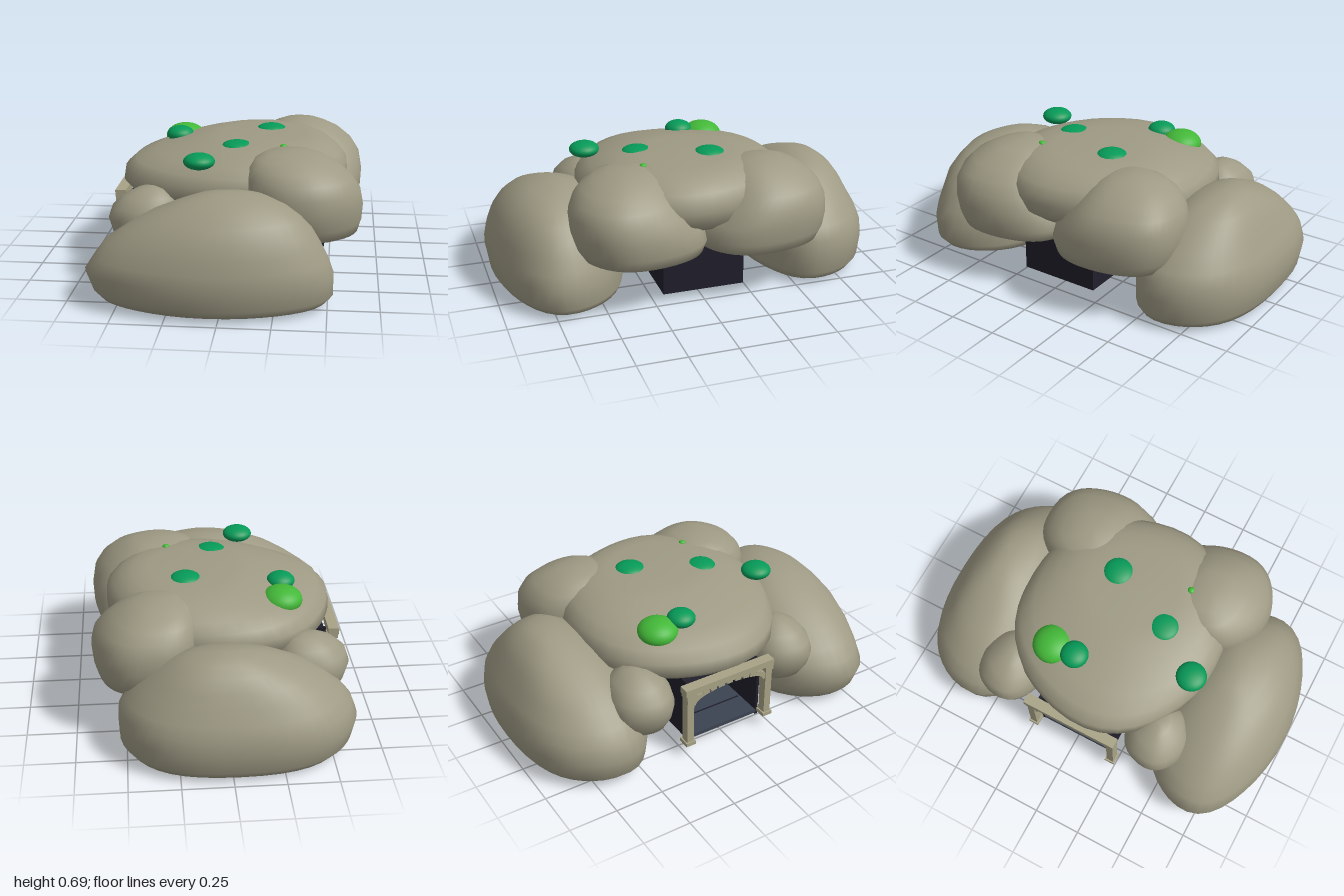
import * as THREE from 'three';

const mat = (name, color) => {
  const m = new THREE.MeshStandardMaterial({ color });
  m.name = name;
  return m;
};

// Boulder lofted through levels [y, xMin, xMax, zMin, zMax], closed by a point at each end
function boulderGeometry(levels, bottomY, topY, power = 2.2) {
  const sides = 40, pos = [], index = [];
  const pw = v => Math.sign(v) * Math.abs(v) ** (2 / power);
  for (const [y, x0, x1, z0, z1] of levels) {
    for (let i = 0; i < sides; i++) {
      const a = (i / sides) * Math.PI * 2;
      const r = 1 + 0.012 * Math.sin(3 * a) + 0.012 * Math.sin(5 * a);
      pos.push(
        (x0 + x1) / 2 + ((x1 - x0) / 2) * pw(Math.cos(a)) * r, y,
        (z0 + z1) / 2 + ((z1 - z0) / 2) * pw(Math.sin(a)) * r);
    }
  }
  const tip = (l, y) => pos.push((l[1] + l[2]) / 2, y, (l[3] + l[4]) / 2);
  tip(levels[0], bottomY);
  tip(levels[levels.length - 1], topY);
  const bottom = levels.length * sides, top = bottom + 1, last = (levels.length - 1) * sides;
  for (let i = 0; i < sides; i++) {
    const n = (i + 1) % sides;
    index.push(bottom, i, n, last + i, top, last + n);
    for (let k = 0; k < last; k += sides) {
      index.push(k + i, k + sides + i, k + n, k + n, k + sides + i, k + sides + n);
    }
  }
  const g = new THREE.BufferGeometry();
  g.setAttribute('position', new THREE.Float32BufferAttribute(pos, 3));
  g.setIndex(index);
  g.computeVertexNormals();
  return g;
}

export function createModel() {
  const root = new THREE.Group();
  root.name = 'rockCave';
  const rock = mat('rock', 0x9e9a84);
  const stone = mat('cutStone', 0xa8a386);
  const dark = mat('passageDark', 0x201f2b);
  const floorMat = mat('passageFloor', 0x3c4351);
  const leaf = mat('bushGreen', 0x069a58);
  const lime = mat('bushLime', 0x43b838);

  const add = (name, geometry, material, parent = root) => {
    const m = new THREE.Mesh(geometry, material);
    m.name = name;
    parent.add(m);
    return m;
  };
  // Box given by its bounds
  const box = (name, x0, x1, y0, y1, z0, z1, material, parent) => {
    const m = add(name, new THREE.BoxGeometry(x1 - x0, y1 - y0, z1 - z0), material, parent);
    m.position.set((x0 + x1) / 2, (y0 + y1) / 2, (z0 + z1) / 2);
    return m;
  };

  // Large boulders either side of the passage
  add('frontBoulder', boulderGeometry([
    [0.015, -0.52, 0.4, 0.38, 0.9], [0.03, -0.59, 0.49, 0.33, 0.96],
    [0.07, -0.625, 0.525, 0.32, 0.985], [0.17, -0.66, 0.525, 0.32, 1],
    [0.24, -0.615, 0.5, 0.32, 0.99], [0.31, -0.56, 0.465, 0.34, 0.97],
    [0.38, -0.46, 0.425, 0.38, 0.945], [0.44, -0.36, 0.37, 0.43, 0.9],
    [0.49, -0.24, 0.3, 0.48, 0.85], [0.525, -0.14, 0.21, 0.54, 0.78],
    [0.54, -0.06, 0.12, 0.59, 0.7],
  ], 0.005, 0.547, 2.1), rock);
  add('backBoulder', boulderGeometry([
    [0.015, -0.51, 0.42, -0.91, -0.39], [0.03, -0.57, 0.5, -0.96, -0.35],
    [0.07, -0.61, 0.53, -0.985, -0.33], [0.17, -0.63, 0.535, -1, -0.325],
    [0.25, -0.6, 0.53, -0.985, -0.34], [0.31, -0.55, 0.495, -0.96, -0.36],
    [0.38, -0.47, 0.43, -0.92, -0.4], [0.44, -0.38, 0.36, -0.89, -0.44],
    [0.5, -0.25, 0.28, -0.845, -0.5], [0.54, -0.14, 0.19, -0.79, -0.58],
    [0.555, -0.06, 0.1, -0.75, -0.64],
  ], 0.005, 0.564), rock);

  // Roof boulder spanning the passage
  add('roofBoulder', boulderGeometry([
    [0.37, -0.42, 0.43, -0.41, 0.38], [0.4, -0.53, 0.52, -0.5, 0.47],
    [0.45, -0.58, 0.575, -0.555, 0.525], [0.51, -0.57, 0.58, -0.555, 0.525],
    [0.56, -0.515, 0.575, -0.535, 0.505], [0.6, -0.41, 0.545, -0.49, 0.46],
    [0.635, -0.28, 0.5, -0.43, 0.4], [0.662, -0.17, 0.44, -0.35, 0.32],
    [0.674, -0.08, 0.36, -0.25, 0.22],
  ], 0.36, 0.677, 2.05), rock);

  // Overhanging boulders above the closed end
  const overhang = [
    [0.265, 0.2, 0.6, 0.05, 0.55], [0.285, 0.14, 0.64, -0.01, 0.6],
    [0.34, 0.09, 0.655, -0.035, 0.635], [0.42, 0.07, 0.66, -0.01, 0.65],
    [0.5, 0.07, 0.645, 0.06, 0.645], [0.56, 0.08, 0.605, 0.11, 0.62],
    [0.61, 0.1, 0.545, 0.15, 0.575], [0.645, 0.13, 0.48, 0.19, 0.51],
    [0.67, 0.19, 0.42, 0.25, 0.44],
  ];
  add('frontOverhang', boulderGeometry(overhang, 0.258, 0.678), rock);
  add('backOverhang', boulderGeometry(
    overhang.map(([y, x0, x1, z0, z1]) => [y, x0 + 0.04, x1, -z1 - 0.01, -z0 - 0.01]),
    0.258, 0.678), rock);

  // Small boulders flanking the entrance
  const flank = [
    [0.185, -0.49, -0.32, 0.33, 0.48], [0.21, -0.54, -0.27, 0.28, 0.54],
    [0.27, -0.575, -0.25, 0.255, 0.57], [0.34, -0.595, -0.24, 0.25, 0.575],
    [0.4, -0.575, -0.25, 0.265, 0.56], [0.45, -0.52, -0.27, 0.3, 0.52],
    [0.485, -0.45, -0.32, 0.36, 0.46],
  ];
  add('frontFlankBoulder', boulderGeometry(flank, 0.178, 0.495, 2.1), rock);
  add('backFlankBoulder', boulderGeometry(
    flank.map(([y, x0, x1, z0, z1]) => [y, x0 - 0.025, x1, -z1 - 0.03, -z0 - 0.02]),
    0.178, 0.495, 2.1), rock);

  // Hollow passage, open toward -x
  const passage = new THREE.Group();
  passage.name = 'passage';
  root.add(passage);
  box('passageFloor', -0.54, 0.455, 0.06, 0.08, -0.205, 0.195, floorMat, passage);
  box('passageCeiling', -0.53, 0.455, 0.38, 0.395, -0.205, 0.195, dark, passage);
  box('passageEnd', 0.455, 0.47, 0.05, 0.395, -0.217, 0.207, dark, passage);
  for (const s of [-1, 1]) {
    const z = s * 0.2045 - 0.005;
    box('passageWall', -0.54, 0.455, 0.05, 0.395, z - 0.0075, z + 0.0075, dark, passage);
  }
  for (const x of [-0.4, -0.2, 0, 0.2, 0.4]) {
    box('floorJoint', x - 0.004, x + 0.004, 0.08, 0.082, -0.19, 0.18, dark, passage);
  }

  // Entrance frame: posts, lintel and an arch of small blocks
  const frame = new THREE.Group();
  frame.name = 'entranceFrame';
  root.add(frame);
  box('lintel', -0.6, -0.545, 0.382, 0.417, -0.27, 0.25, stone, frame);
  for (const s of [-1, 1]) {
    const z = s * 0.232 - 0.006;
    box('post', -0.592, -0.545, 0.08, 0.36, z - 0.019, z + 0.019, stone, frame);
    box('postFoot', -0.6, -0.535, 0.07, 0.09, z - 0.027, z + 0.027, stone, frame);
    box('postCap', -0.597, -0.54, 0.355, 0.382, z - 0.023, z + 0.023, stone, frame);
  }
  for (let i = 0; i < 13; i++) {
    const a = Math.PI * (0.04 + (0.92 * i) / 12);
    const block = add('archBlock', new THREE.BoxGeometry(0.036, 0.026, 0.034), stone, frame);
    block.position.set(-0.57, 0.318 + 0.055 * Math.sin(a), 0.208 * Math.cos(a) - 0.006);
    block.rotation.x = Math.atan2(0.055 * Math.cos(a), 0.208 * Math.sin(a));
  }

  // Bushes: x, y, z, radius, half height
  const ball = new THREE.SphereGeometry(1, 28, 18);
  for (const [x, y, z, r, h, m] of [
    [-0.3, 0.59, -0.25, 0.105, 0.068, lime],
    [0.26, 0.667, 0.245, 0.018, 0.012, lime],
    [-0.31, 0.63, -0.12, 0.072, 0.043, leaf],
    [-0.14, 0.636, 0.45, 0.078, 0.04, leaf],
    [0.025, 0.654, 0.21, 0.08, 0.03, leaf],
    [0.177, 0.662, -0.13, 0.08, 0.033, leaf],
  ]) {
    const bush = add('bush', ball, m);
    bush.position.set(x, y, z);
    bush.scale.set(r, h, r);
  }
  return root;
}
